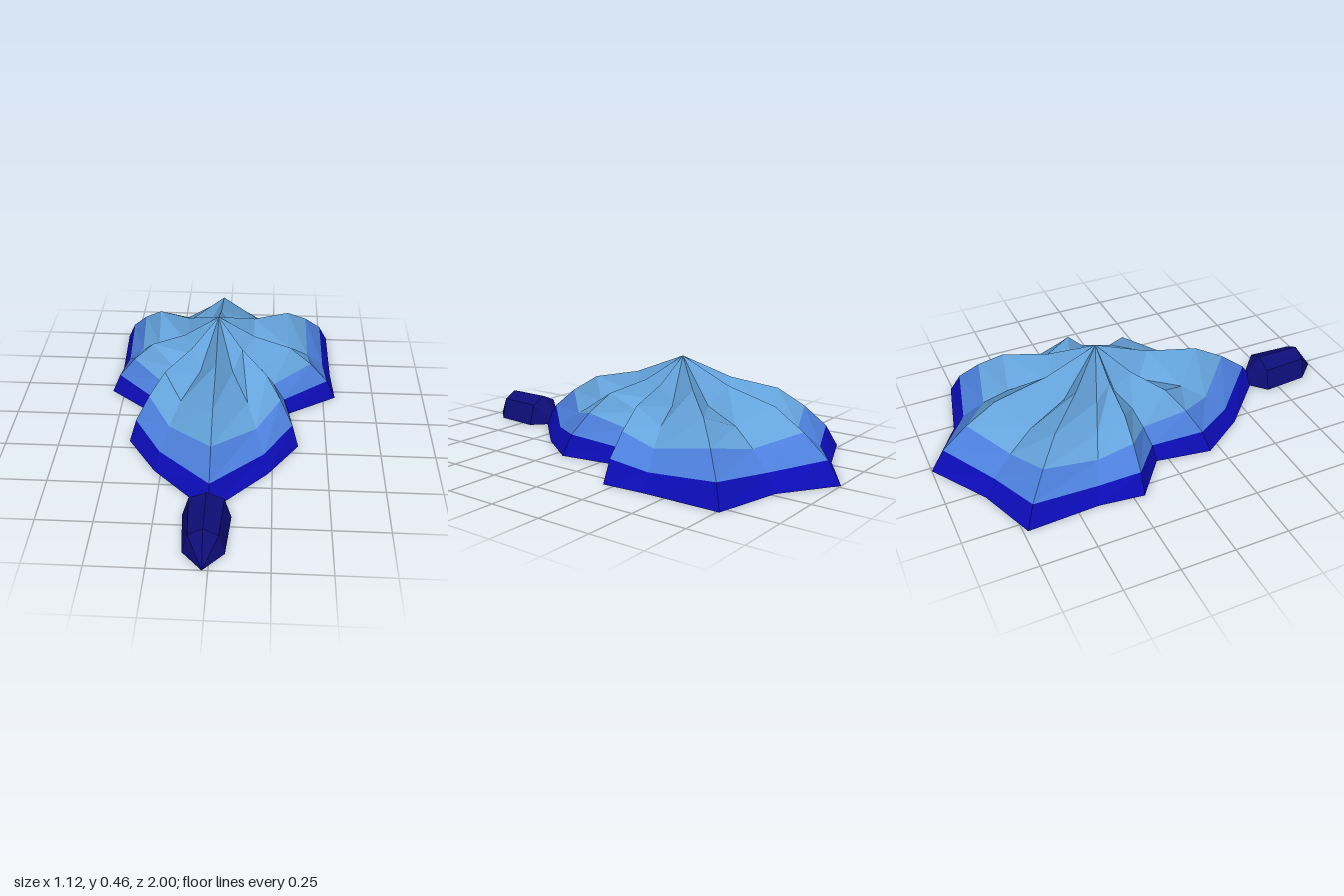
import * as THREE from 'three';

const paint = (name, color) => {
  const m = new THREE.MeshStandardMaterial({ color, flatShading: true });
  m.name = name;
  return m;
};

// Skins closed rings of points; collapsed triangles at the tips are skipped.
function loft(name, rings, material) {
  const pos = [];
  const tri = (a, b, c) => {
    const area = b.clone().sub(a).cross(c.clone().sub(a)).length();
    if (area > 1e-7) for (const p of [a, b, c]) pos.push(p.x, p.y, p.z);
  };
  for (let j = 0; j + 1 < rings.length; j++) {
    const n = rings[j].length;
    for (let i = 0; i < n; i++) {
      const k = (i + 1) % n;
      tri(rings[j][i], rings[j][k], rings[j + 1][k]);
      tri(rings[j][i], rings[j + 1][k], rings[j + 1][i]);
    }
  }
  const g = new THREE.BufferGeometry();
  g.setAttribute('position', new THREE.Float32BufferAttribute(pos, 3));
  g.computeVertexNormals();
  const mesh = new THREE.Mesh(g, material);
  mesh.name = name;
  return mesh;
}

export function createModel() {
  const rimBlue = paint('rim blue', 0x0c0cb8);
  const midBlue = paint('mid blue', 0x4c7fdb);
  const skyBlue = paint('sky blue', 0x64a3db);
  const navy = paint('navy', 0x0d0d78);

  const model = new THREE.Group();
  model.name = 'shelledCreature';

  // Shell outline (x, z), starting at the back; even points are ridges, odd are valleys
  const outline = [
    [-0.02, -1], [-0.285, -0.83], [-0.55, -0.73], [-0.535, -0.405],
    [-0.56, -0.2], [-0.38, -0.055], [-0.42, 0.2], [-0.28, 0.41],
    [-0.02, 0.665], [0.23, 0.405], [0.37, 0.2], [0.33, -0.055],
    [0.56, -0.2], [0.545, -0.405], [0.54, -0.76], [0.23, -0.83],
  ];
  const cx = -0.022, cz = -0.195;

  // Each level shrinks the outline towards the peak; valleys sit at 3/4 of the ridge height
  const ring = ([scale, y]) => outline.map(([x, z], i) => new THREE.Vector3(
    cx + (x - cx) * scale,
    scale > 0 && i % 2 ? y * 0.75 : y,
    cz + (z - cz) * scale));
  const levels = [[1, 0], [0.922, 0.1], [0.775, 0.2], [0.6, 0.29], [0.3, 0.35], [0, 0.455]].map(ring);

  const shell = new THREE.Group();
  shell.name = 'shell';
  shell.add(
    loft('shellRim', levels.slice(0, 2), rimBlue),
    loft('shellMiddleBand', levels.slice(1, 3), midBlue),
    loft('shellTop', levels.slice(2), skyBlue),
    loft('shellUnderside', [ring([0, 0]), levels[0]], rimBlue));
  model.add(shell);

  // Head: five-sided sections tapering to a point at both ends
  const section = (z, w, h) => [[1, 0], [0.72, 0.1], [0, 0.134], [-0.72, 0.1], [-1, 0]]
    .map(([x, y]) => new THREE.Vector3(-0.025 + x * w, y * h, z));
  model.add(loft('head', [
    section(0.592, 0, 0), section(0.69, 0.105, 1),
    section(0.905, 0.088, 1), section(1, 0, 0),
  ], navy));

  return model;
}
